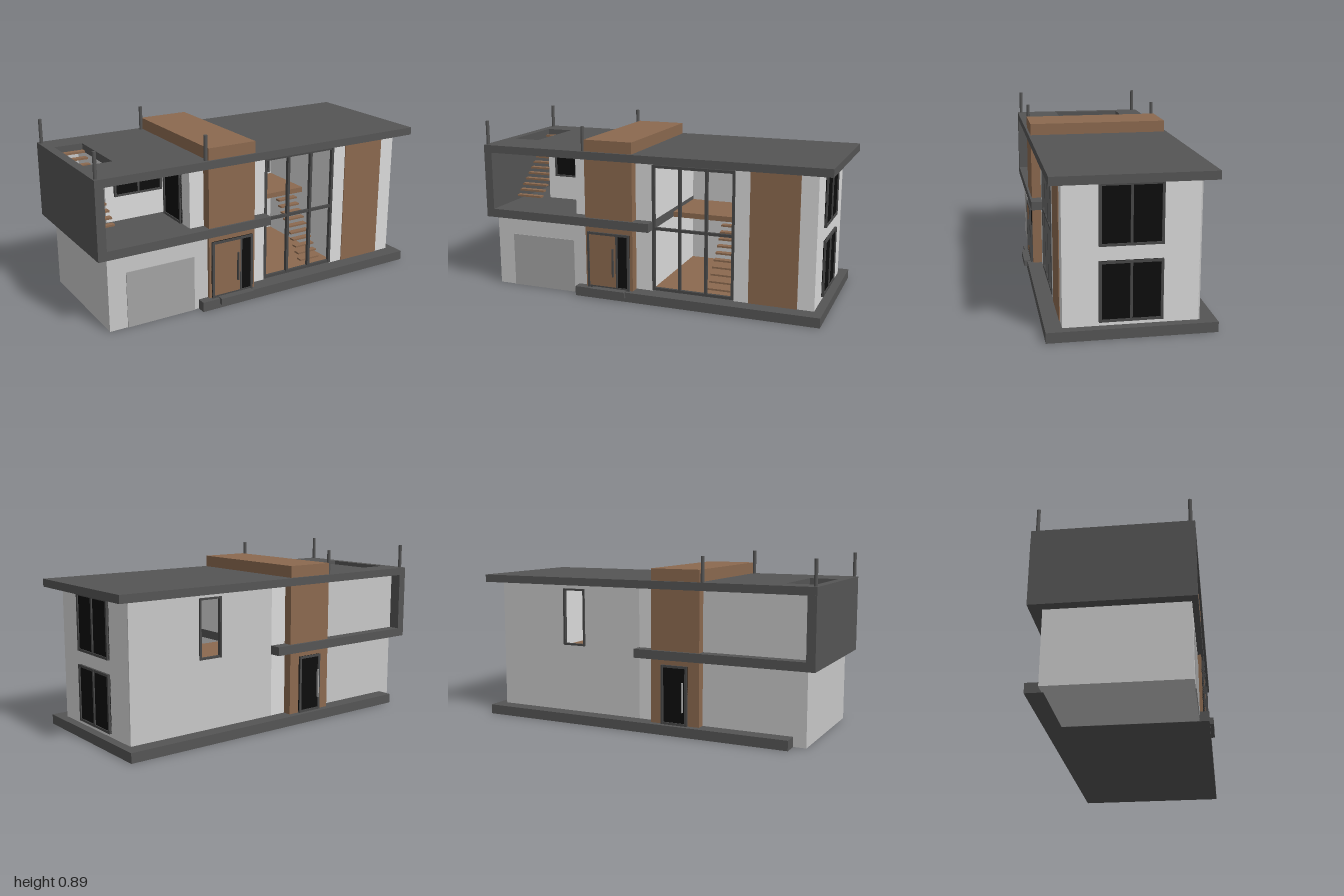
import * as THREE from 'three';

export function createModel() {
  const mat = (name, color) => {
    const m = new THREE.MeshStandardMaterial({ color });
    m.name = name;
    return m;
  };
  const concrete = mat('dark concrete', 0x555555);
  const wall = mat('grey wall', 0xc8c8c8);
  const pale = mat('pale wall', 0xdadada);
  const wood = mat('wood', 0x8b694f);
  const door = mat('garage door grey', 0xa3a3a3);
  const frame = mat('window frame', 0x484848);
  const glass = mat('black glass', 0x0d0d0d);

  const house = new THREE.Group();
  house.name = 'house';

  // Block given by its limits along the house (x), height (y) and depth (z)
  const box = (name, m, x0, x1, y0, y1, z0, z1, parent = house) => {
    const mesh = new THREE.Mesh(new THREE.BoxGeometry(x1 - x0, y1 - y0, z1 - z0), m);
    mesh.position.set((x0 + x1) / 2, (y0 + y1) / 2, (z0 + z1) / 2);
    mesh.name = name;
    parent.add(mesh);
    return mesh;
  };

  // Flat slab with one rectangular hole
  const holedSlab = (name, m, [a0, a1, b0, b1], [c0, c1, d0, d1], depth) => {
    const rect = (P, x0, x1, y0, y1) => {
      const p = new P();
      p.moveTo(x0, y0); p.lineTo(x1, y0); p.lineTo(x1, y1); p.lineTo(x0, y1); p.closePath();
      return p;
    };
    const s = rect(THREE.Shape, a0, a1, b0, b1);
    s.holes.push(rect(THREE.Path, c0, c1, d0, d1));
    const mesh = new THREE.Mesh(new THREE.ExtrudeGeometry(s, { depth, bevelEnabled: false }), m);
    mesh.name = name;
    house.add(mesh);
    return mesh;
  };

  // Rim plus evenly spaced mullions and rails, centred, facing +z; panes optional
  const windowUnit = (name, w, h, cols, rows, bar, filled) => {
    const g = new THREE.Group();
    g.name = name;
    for (let i = 0; i <= cols; i++) {
      const x = -w / 2 + bar / 2 + (i * (w - bar)) / cols;
      box('mullion', frame, x - bar / 2, x + bar / 2, -h / 2, h / 2, -0.008, 0.01, g);
    }
    for (let j = 0; j <= rows; j++) {
      const y = -h / 2 + bar / 2 + (j * (h - bar)) / rows;
      box('rail', frame, -w / 2, w / 2, y - bar / 2, y + bar / 2, -0.007, 0.009, g);
    }
    if (filled) box('pane', glass, -w / 2, w / 2, -h / 2, h / 2, -0.004, 0.004, g);
    house.add(g);
    return g;
  };

  // Base plinth with its narrow strip behind the garage
  box('base', concrete, -0.395, 0.895, 0, 0.05, -0.397, 0.397);
  box('baseStrip', concrete, -0.81, -0.395, 0, 0.05, -0.397, -0.31);

  // Garage
  box('garage', wall, -0.875, -0.343, 0.001, 0.38, -0.318, 0.35);
  box('garageDoor', door, -0.782, -0.42, 0.001, 0.285, 0.348, 0.354);

  // Terrace slab, end wall and roof with stair opening
  box('terraceSlab', concrete, -0.926, 0.012, 0.375, 0.42, -0.378, 0.378);
  box('frameEndWall', concrete, -0.926, -0.882, 0.42, 0.726, -0.378, 0.378);
  const roof = holedSlab('roof', concrete, [-0.926, 0.926, -0.377, 0.378], [-0.882, -0.735, -0.24, 0.14], 0.04);
  roof.rotation.x = Math.PI / 2;
  roof.position.y = 0.765;

  // Wooden tower running through the house
  box('tower', wood, -0.343, -0.08, 0.05, 0.825, -0.363, 0.367);

  // Upper room beside the terrace
  box('upperRoom', pale, -0.735, -0.42, 0.42, 0.725, -0.312, 0.03);
  box('upperPassage', pale, -0.42, -0.343, 0.42, 0.725, -0.312, 0.315);
  box('upperBackWall', wall, -0.882, -0.343, 0.42, 0.725, -0.318, -0.305);

  // Right wing and the stair hall between it and the tower
  box('rightWing', pale, 0.465, 0.85, 0.05, 0.725, -0.312, 0.318);
  box('rightWingBack', wall, 0.465, 0.85, 0.05, 0.725, -0.318, -0.311);
  box('hallFrontPier', pale, 0.443, 0.466, 0.05, 0.725, 0.295, 0.318);
  box('hallLeftBlock', pale, -0.08, 0.01, 0.05, 0.725, -0.318, 0.318);
  const back = holedSlab('hallBackWall', wall, [0.01, 0.465, 0.05, 0.725], [0.335, 0.46, 0.405, 0.7], 0.02);
  back.position.z = -0.318;
  box('woodPanel', wood, 0.52, 0.766, 0.05, 0.725, 0.316, 0.322);
  box('hallFloor', wood, 0.01, 0.465, 0.05, 0.058, -0.298, 0.3);
  box('landing', wood, 0.012, 0.465, 0.372, 0.4, -0.298, 0.02);

  // Indoor stairs, down towards the front
  for (let i = 0; i < 10; i++) {
    const y = 0.36 - i * 0.031, z = 0.03 + i * 0.024;
    box('indoorStep', wood, 0.29, 0.41, y - 0.009, y, z - 0.017, z + 0.017);
  }
  // Roof stairs, up towards the back
  for (let i = 0; i < 12; i++) {
    const y = 0.448 + i * 0.026, z = 0.122 - i * 0.031;
    box('roofStep', wood, -0.882, -0.735, y - 0.01, y, z - 0.015, z + 0.015);
  }

  // Windows
  windowUnit('hallWindow', 0.435, 0.655, 3, 2, 0.014, false).position.set(0.227, 0.383, 0.312);
  windowUnit('terraceWindow', 0.258, 0.155, 2, 1, 0.01, true).position.set(-0.56, 0.627, 0.034);
  for (const y of [0.213, 0.57]) {
    const w = windowUnit('endWindow', 0.296, 0.288, 2, 1, 0.012, true);
    w.position.set(0.853, y, 0.004);
    w.rotation.y = Math.PI / 2;
  }
  const side = windowUnit('terraceDoor', 0.18, 0.285, 1, 1, 0.012, true);
  side.position.set(-0.423, 0.565, 0.148);
  side.rotation.y = -Math.PI / 2;
  const rear = windowUnit('backWindowFrame', 0.13, 0.3, 1, 1, 0.01, false);
  rear.position.set(0.397, 0.553, -0.316);
  rear.rotation.y = Math.PI;

  // Front door with side light, handle and step
  windowUnit('frontDoorFrame', 0.235, 0.298, 1, 1, 0.012, true).position.set(-0.213, 0.199, 0.369);
  box('frontDoor', wood, -0.32, -0.168, 0.06, 0.337, 0.368, 0.377);
  box('doorPost', frame, -0.17, -0.16, 0.055, 0.342, 0.366, 0.379);
  box('frontHandle', frame, -0.188, -0.181, 0.12, 0.27, 0.377, 0.389);
  box('frontStep', concrete, -0.3, -0.11, 0.022, 0.055, 0.36, 0.415);

  // Back door
  const backDoor = windowUnit('backDoor', 0.142, 0.3, 1, 1, 0.012, true);
  backDoor.position.set(-0.21, 0.2, -0.365);
  backDoor.rotation.y = Math.PI;
  box('backHandle', door, -0.263, -0.257, 0.12, 0.27, -0.387, -0.375);

  // Four roof posts around the terrace
  for (const x of [-0.911, -0.353])
    for (const z of [-0.35, 0.357]) {
      const post = new THREE.Mesh(new THREE.CylinderGeometry(0.009, 0.009, 0.13, 12), concrete);
      post.position.set(x, 0.825, z);
      post.name = 'roofPost';
      house.add(post);
    }

  house.rotation.y = THREE.MathUtils.degToRad(24.2);
  const model = new THREE.Group();
  model.name = 'modernHouse';
  model.add(house);
  return model;
}
